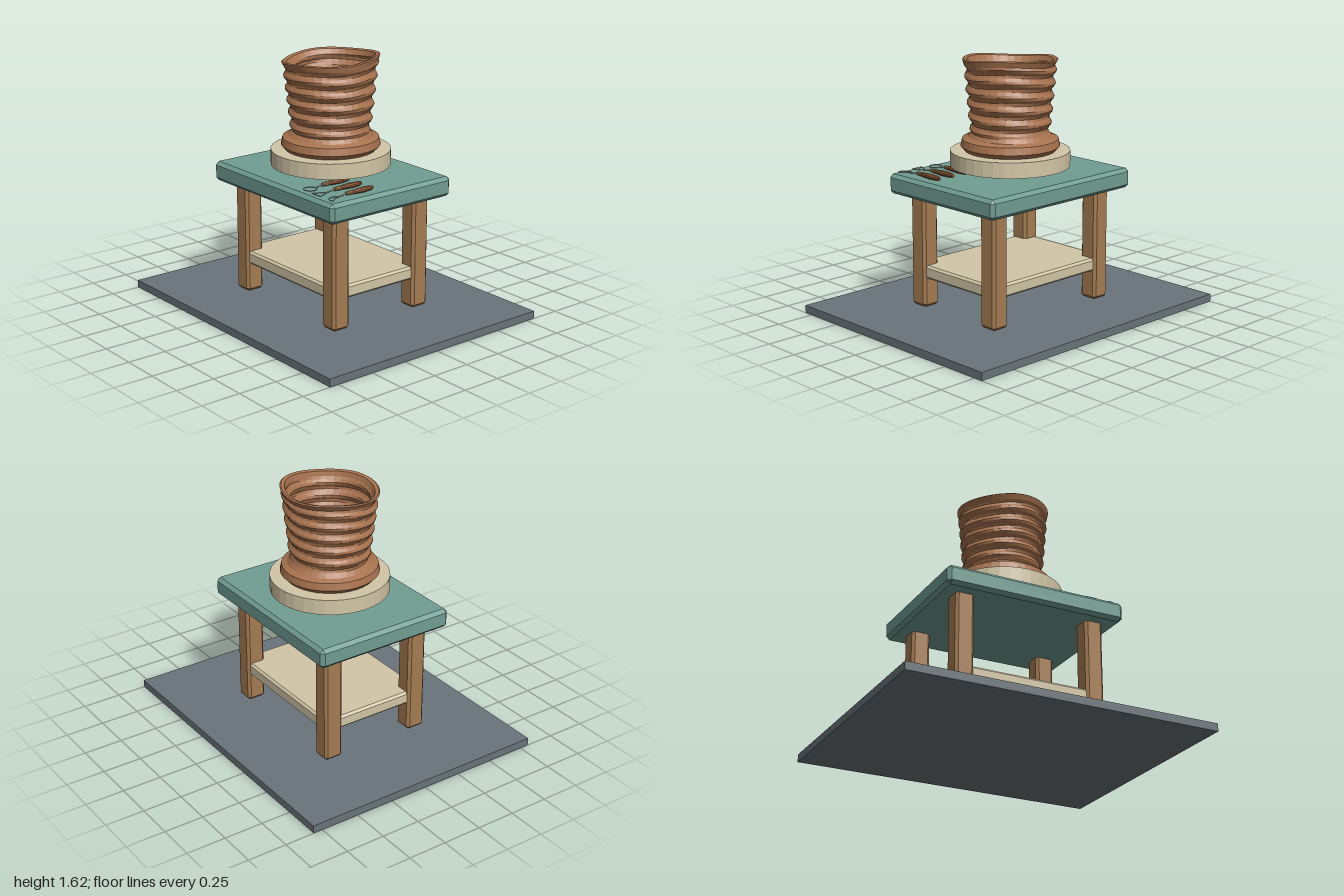
import * as THREE from 'three';
import { ConvexGeometry } from 'three/addons/geometries/ConvexGeometry.js';

const paint = (color) => new THREE.MeshStandardMaterial({ color, flatShading: true });
const slate = paint(0x69747a), teal = paint(0x719d93), wood = paint(0xa67c52);
const cream = paint(0xd2c6a7), clay = paint(0xa8734f), darkWood = paint(0x8f5a38);
const steel = paint(0xc0c4c6), brass = paint(0xa98050);

function add(parent, name, geometry, material, x = 0, y = 0, z = 0) {
  const mesh = new THREE.Mesh(geometry, material);
  mesh.name = name;
  mesh.position.set(x, y, z);
  parent.add(mesh);
  return mesh;
}

// Box with every edge cut by a single chamfer
function chamferBox(w, h, d, c) {
  const points = [];
  for (const sx of [-0.5, 0.5]) for (const sy of [-0.5, 0.5]) for (const sz of [-0.5, 0.5]) {
    for (let axis = 0; axis < 3; axis++) {
      const inset = [c, c, c];
      inset[axis] = 0;
      points.push(new THREE.Vector3(
        sx * (w - 2 * inset[0]), sy * (h - 2 * inset[1]), sz * (d - 2 * inset[2])));
    }
  }
  return new ConvexGeometry(points);
}

// Thrown pot: flared foot, spiral finger ridges, wavy rim and hollow inside
function potGeometry() {
  const profile = [[0, 1.025], [0.28, 1.025], [0.308, 1.055], [0.298, 1.1], [0.262, 1.115], [0.24, 1.14]];
  const rows = 26;
  for (let i = 1; i <= rows; i++) {
    const t = i / rows;
    profile.push([0.24 + 0.042 * t, 1.14 + 0.42 * t]);
  }
  profile.push([0.297, 1.592], [0.289, 1.598], [0.268, 1.592]);
  for (let i = rows; i >= 0; i--) {
    const t = i / rows;
    profile.push([0.195 + 0.06 * t, 1.14 + 0.42 * t]);
  }
  profile.push([0.155, 1.075], [0, 1.07]);

  const geometry = new THREE.LatheGeometry(profile.map(([r, y]) => new THREE.Vector2(r, y)), 36);
  const p = geometry.attributes.position;
  for (let i = 0; i < p.count; i++) {
    const x = p.getX(i), y = p.getY(i), z = p.getZ(i);
    const r = Math.hypot(x, z);
    if (r < 0.001) continue;
    const angle = Math.atan2(x, z);
    const ridge = THREE.MathUtils.smoothstep(y, 1.11, 1.17) * (1 - THREE.MathUtils.smoothstep(y, 1.54, 1.59));
    const high = THREE.MathUtils.smoothstep(y, 1.15, 1.6);
    const scale = 1 + 0.011 * ridge * Math.sin(y * 2 * Math.PI / 0.082 + angle) / r
      + 0.018 * high * Math.cos(2 * angle + 0.8);
    const lift = high * (0.018 * Math.cos(angle - 2.3) + 0.007 * Math.cos(3 * angle - 0.6));
    p.setXYZ(i, x * scale, y + lift, z * scale);
  }
  geometry.computeVertexNormals();
  return geometry;
}

// Wire loop heads, starting from the neck end at the origin and running along +z
const bend = (points, round) => {
  const v = points.map(([x, z]) => new THREE.Vector3(x, 0, z));
  return new THREE.CatmullRomCurve3(v, true, round ? 'centripetal' : 'catmullrom', round ? 0.5 : 0);
};
const circle = Array.from({ length: 12 }, (_, i) => {
  const a = i * Math.PI / 6;
  return [0.04 * Math.sin(a), 0.04 - 0.04 * Math.cos(a)];
});
const loops = [
  ['roundLoop', 0.28, bend(circle, true)],
  ['triangleLoop', 0.395, bend([[0, 0], [-0.04, 0.085], [0.04, 0.085]], false)],
  ['crescentLoop', 0.505, bend([[0, 0], [-0.018, 0.035], [-0.01, 0.068], [0.018, 0.086],
    [0.046, 0.08], [0.02, 0.058], [0.008, 0.03]], true)],
];

function trimmingTool([loopName, x, curve]) {
  const tool = new THREE.Group();
  tool.name = 'trimmingTool';
  tool.position.set(x, 0.908, 0);
  const grip = [[0, 0.085], [0.01, 0.088], [0.015, 0.11], [0.018, 0.16], [0.017, 0.2], [0.012, 0.255], [0, 0.255]];
  const handle = new THREE.LatheGeometry(grip.map(([r, l]) => new THREE.Vector2(r, l)), 10);
  add(tool, 'toolHandle', handle.rotateX(Math.PI / 2), darkWood);
  add(tool, 'toolFerrule', new THREE.CylinderGeometry(0.011, 0.014, 0.04, 10).rotateX(Math.PI / 2), brass, 0, 0, 0.272);
  const neck = new THREE.LineCurve3(new THREE.Vector3(0, 0, 0.285), new THREE.Vector3(0, -0.008, 0.343));
  add(tool, 'toolNeck', new THREE.TubeGeometry(neck, 1, 0.004, 6), steel);
  add(tool, loopName, new THREE.TubeGeometry(curve, 48, 0.0028, 5, true), steel, 0, -0.008, 0.342);
  return tool;
}

export function createModel() {
  const model = new THREE.Group();
  model.name = 'potteryWheelTable';

  add(model, 'floorSlab', new THREE.BoxGeometry(2, 0.05, 1.62), slate, 0, 0.025, 0);

  // Table
  add(model, 'tableTop', chamferBox(1.185, 0.125, 0.935, 0.022), teal, 0, 0.8275, 0);
  for (const sx of [-1, 1]) for (const sz of [-1, 1]) {
    add(model, 'leg', chamferBox(0.12, 0.74, 0.125, 0.017), wood, sx * 0.436, 0.42, sz * 0.3125);
  }
  add(model, 'shelf', chamferBox(0.96, 0.085, 0.72, 0.014), cream, 0, 0.2775, 0);

  // Wheel and pot
  add(model, 'wheelAxle', new THREE.CylinderGeometry(0.11, 0.11, 0.06, 24), wood, 0, 0.905, 0);
  add(model, 'wheelHead', new THREE.CylinderGeometry(0.372, 0.372, 0.097, 36), cream, 0, 0.9775, 0);
  add(model, 'pot', potGeometry(), clay);

  // Tools lying on the table
  loops.forEach((loop) => model.add(trimmingTool(loop)));
  return model;
}
